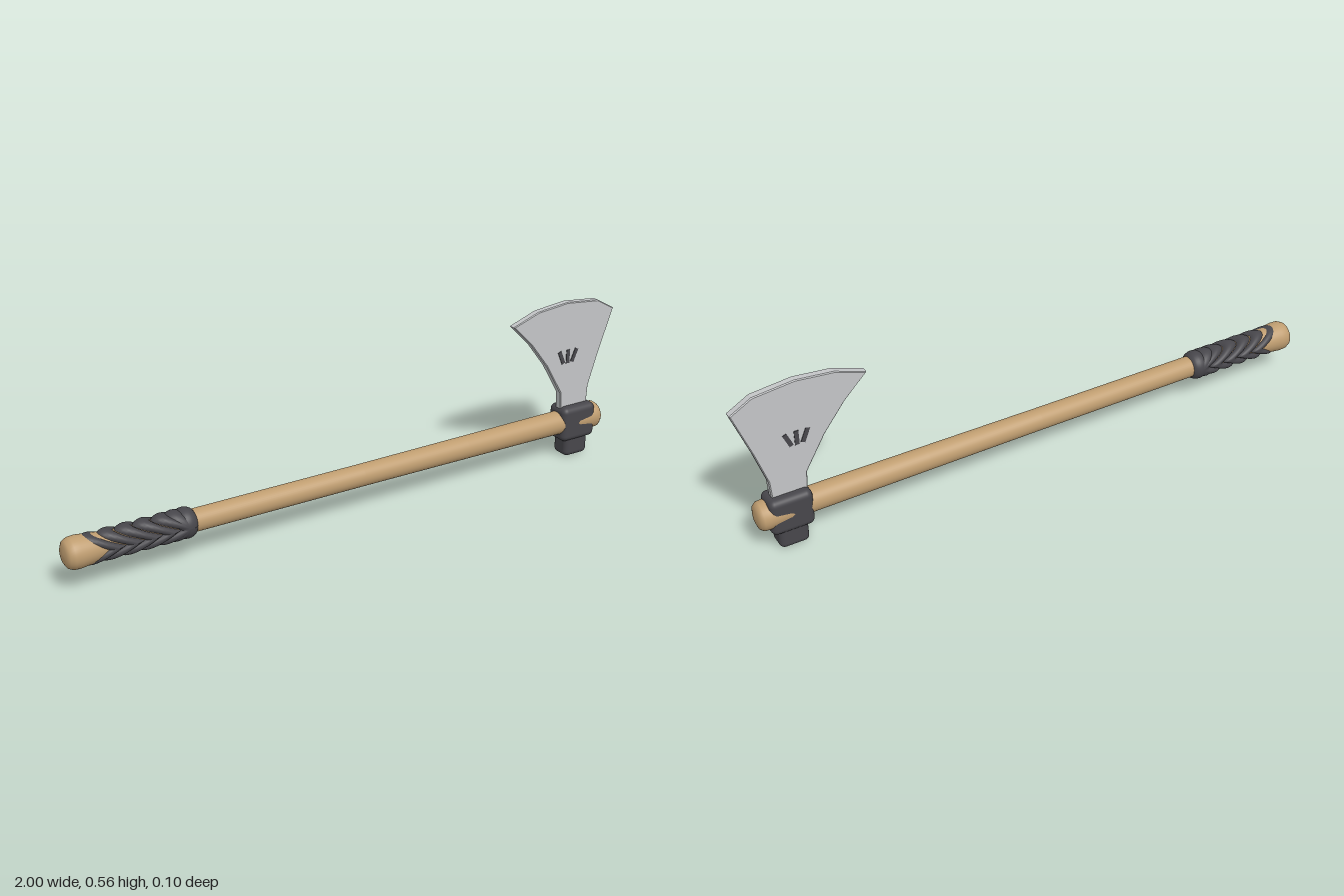
import * as THREE from 'three';
import { RoundedBoxGeometry } from 'three/addons/geometries/RoundedBoxGeometry.js';

const AXIS_Y = 0.123;

export function createModel() {
  const model = new THREE.Group();
  model.name = 'hatchet';

  const material = (name, color) => {
    const m = new THREE.MeshStandardMaterial({ color });
    m.name = name;
    return m;
  };
  const wood = material('wood', 0xbf9d70);
  const dark = material('darkLeather', 0x47464b);
  const steel = material('steel', 0xc3c5c7);

  const add = (name, geometry, mat, x = 0, y = 0, z = 0, parent = model) => {
    const mesh = new THREE.Mesh(geometry, mat);
    mesh.name = name;
    mesh.position.set(x, y, z);
    parent.add(mesh);
    return mesh;
  };

  // Turned solid lying along x, from [x, radius] pairs
  const turned = (profile) => new THREE.LatheGeometry(
    profile.map(([x, r]) => new THREE.Vector2(r, x)), 40).rotateZ(-Math.PI / 2);

  // Handle: flared butt, slim shaft, domed front end
  add('handle', turned([
    [-1, 0], [-0.998, 0.028], [-0.99, 0.042], [-0.975, 0.049], [-0.955, 0.05],
    [-0.91, 0.045], [-0.86, 0.038], [-0.8, 0.0355], [0, 0.036], [0.4, 0.038],
    [0.78, 0.04], [0.86, 0.0445], [0.93, 0.047], [0.945, 0.0455], [0.955, 0.038],
    [0.96, 0.022], [0.962, 0],
  ]), wood, 0, AXIS_Y);

  // Grip: rounded bands swept back at top and bottom into chevrons
  const band = (start, width, sweep) => {
    const profile = [];
    for (let i = 0; i <= 8; i++) {
      const t = i / 8;
      profile.push([start + t * width, 0.032 + 0.0165 * Math.pow(Math.sin(Math.PI * t), 0.6)]);
    }
    const g = turned(profile);
    const p = g.attributes.position;
    for (let i = 0; i < p.count; i++) {
      const up = Math.abs(p.getY(i)) / Math.hypot(p.getY(i), p.getZ(i));
      p.setX(i, p.getX(i) - sweep * up);
    }
    g.computeVertexNormals();
    return g;
  };
  const grip = new THREE.Group();
  grip.name = 'grip';
  grip.position.y = AXIS_Y;
  model.add(grip);
  const pitch = 0.058;
  for (let k = 0; k < 5; k++) {
    add('gripBand', band(-0.878 + k * pitch, 0.062, 0.08), dark, 0, 0, 0, grip);
  }
  add('gripEndBand', band(-0.65, 0.065, 0.035), dark, 0, 0, 0, grip);
  add('gripEndBand', band(-0.645, 0.06, 0), dark, 0, 0, 0, grip);

  // Socket around the handle and hammer poll below it
  add('socket', new RoundedBoxGeometry(0.138, 0.123, 0.088, 4, 0.02), dark, 0.857, 0.122);
  add('poll', new RoundedBoxGeometry(0.095, 0.09, 0.072, 4, 0.018), dark, 0.856, 0.045);

  // Blade: flat plate with a flared, curved cutting edge
  const outline = [
    [0.795, 0.15], [0.905, 0.15], [0.91, 0.24], [0.945, 0.35], [1, 0.503],
    [0.93, 0.543], [0.8, 0.557], [0.68, 0.545], [0.58, 0.51],
    [0.655, 0.435], [0.725, 0.345], [0.79, 0.235],
  ].map(([x, y]) => new THREE.Vector2(x, y));
  const bevel = 0.003;
  const blade = new THREE.ExtrudeGeometry(new THREE.Shape(outline), {
    depth: 0.02, bevelEnabled: true, bevelThickness: bevel, bevelSize: bevel,
    bevelOffset: -bevel, bevelSegments: 1,
  });
  add('blade', blade, steel, 0, 0, -0.01);

  // Three converging slots marked on both faces of the blade
  for (const side of [-1, 1]) {
    for (const [x, tilt] of [[0.785, 0.4], [0.812, 0], [0.839, -0.4]]) {
      const slot = add('bladeSlot', new THREE.BoxGeometry(0.014, 0.048, 0.004),
        dark, x, 0.365, side * 0.013);
      slot.rotation.z = tilt;
    }
  }

  return model;
}
